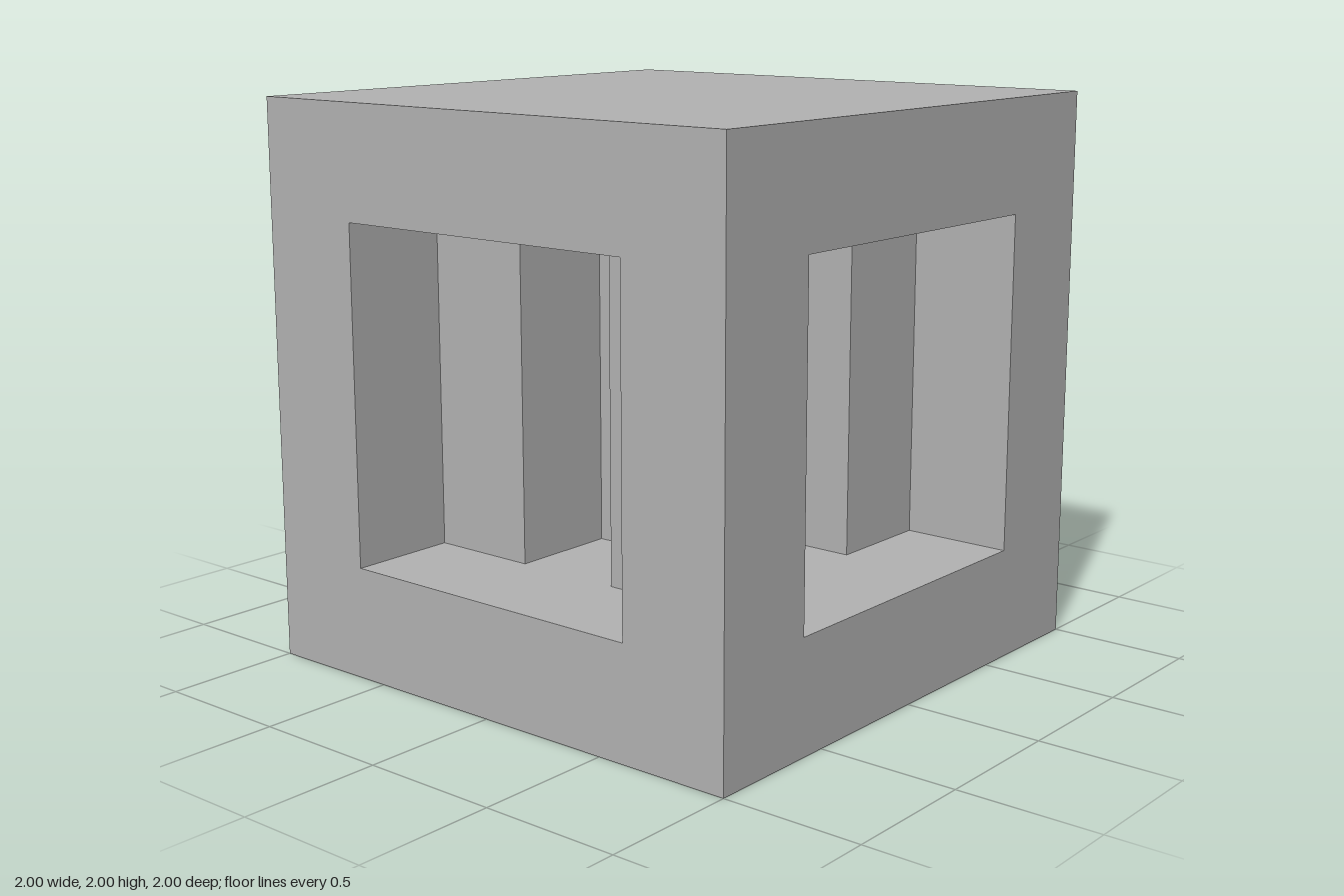
import * as THREE from 'three';

const CELL = 0.4; // the cube is a 5 x 5 x 5 grid of cells

export function createModel() {
  const model = new THREE.Group();
  model.name = 'pillaredCube';
  const grey = new THREE.MeshStandardMaterial({ color: 0xb2b2b2 });
  grey.name = 'grey';

  // Box sized and placed in whole cells, with its base at the given layer
  function addBlock(name, width, height, column, layer, row) {
    const geometry = new THREE.BoxGeometry(width * CELL, height * CELL, width * CELL);
    const mesh = new THREE.Mesh(geometry, grey);
    mesh.name = name;
    mesh.position.set(column * CELL, (layer + height / 2) * CELL, row * CELL);
    model.add(mesh);
  }

  // Floor and roof
  addBlock('baseSlab', 5, 1, 0, 0, 0);
  addBlock('topSlab', 5, 1, 0, 4, 0);

  // Central pillar, then outer and inner pillars along both diagonals
  addBlock('centrePillar', 1, 3, 0, 1, 0);
  for (const x of [-1, 1]) {
    for (const z of [-1, 1]) {
      addBlock('innerPillar', 1, 3, x, 1, z);
      addBlock('cornerPost', 1, 3, 2 * x, 1, 2 * z);
    }
  }
  return model;
}
